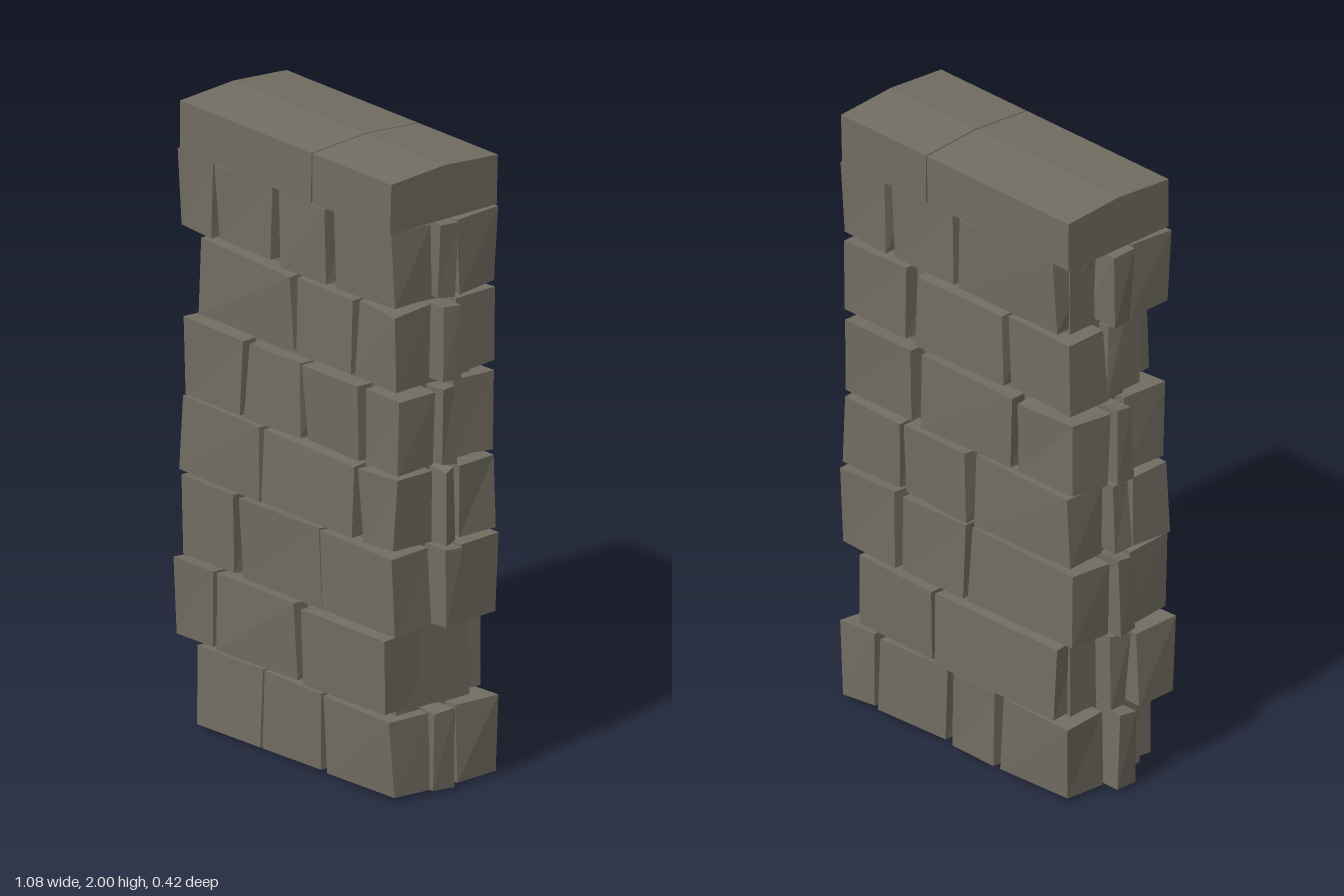
import * as THREE from 'three';

const stoneMat = new THREE.MeshStandardMaterial({ color: 0x726d62, flatShading: true });
stoneMat.name = 'grey stone';

// Courses from the ground up: height range, front and back stones as [x0, x1, lean of top],
// and the small end stones as [outer x, z0, z1]
const courses = [
  { y: [0.01, 0.26], front: [[-0.42, -0.13], [-0.12, 0.15], [0.175, 0.49, -0.02]],
    back: [[-0.48, -0.2], [-0.17, 0.02], [0.05, 0.33], [0.36, 0.49]],
    ends: [[-0.53, -0.04, 0.04], [0.51, -0.03, 0.05]] },
  { y: [0.27, 0.51], front: [[-0.53, -0.36], [-0.33, 0.02], [0.06, 0.44]],
    back: [[-0.43, 0.08], [0.1, 0.42]], ends: [[-0.5, -0.04, 0.03]] },
  { y: [0.53, 0.78], front: [[-0.49, -0.26, -0.01], [-0.22, 0.14], [0.165, 0.49, -0.01]],
    back: [[-0.5, -0.06], [-0.04, 0.23], [0.26, 0.5]],
    ends: [[-0.53, -0.03, 0.03], [0.52, -0.03, 0.03]] },
  { y: [0.8, 1.03], front: [[-0.51, -0.14], [-0.12, 0.29], [0.33, 0.49]],
    back: [[-0.48, -0.07], [-0.05, 0.22], [0.24, 0.49]],
    ends: [[-0.51, -0.03, 0.03], [0.52, -0.02, 0.02]] },
  { y: [1.05, 1.29], front: [[-0.48, -0.22], [-0.2, 0.05], [0.07, 0.32], [0.355, 0.5]],
    back: [[-0.5, -0.27], [-0.24, 0.15], [0.19, 0.48]],
    ends: [[-0.53, -0.04, 0.03], [0.51, -0.03, 0.03]] },
  { y: [1.32, 1.56], front: [[-0.425, 0.01], [0.04, 0.28], [0.31, 0.49]],
    back: [[-0.49, -0.22], [-0.2, 0.17], [0.22, 0.48]],
    ends: [[-0.48, -0.03, 0.03], [0.53, -0.03, 0.04]] },
  { y: [1.58, 1.82], front: [[-0.51, -0.36], [-0.34, -0.09], [-0.04, 0.18, -0.02], [0.21, 0.48]],
    back: [[-0.43, -0.01], [0.02, 0.28], [0.31, 0.49]],
    ends: [[-0.52, -0.04, 0.03], [0.51, -0.03, 0.03]] },
];

let seed = 7;
function jitter(amount) {
  seed = (seed * 16807) % 2147483647;
  return (seed / 2147483647 - 0.5) * 2 * amount;
}

// Rough block: a box whose eight corners are each nudged a little
function block(name, [x0, x1], [y0, y1], [z0, z1], lean = 0, rough = 0.009) {
  const geo = new THREE.BoxGeometry(1, 1, 1);
  const pos = geo.attributes.position;
  const nudges = Array.from({ length: 8 }, () => [jitter(rough), jitter(rough * 0.7), jitter(rough)]);
  for (let i = 0; i < pos.count; i++) {
    const r = pos.getX(i) > 0, t = pos.getY(i) > 0, f = pos.getZ(i) > 0;
    const [dx, dy, dz] = nudges[(r ? 1 : 0) + (t ? 2 : 0) + (f ? 4 : 0)];
    pos.setXYZ(i, (r ? x1 : x0) + dx + (t ? lean : 0), Math.max(0, (t ? y1 : y0) + dy), (f ? z1 : z0) + dz);
  }
  geo.computeVertexNormals();
  const mesh = new THREE.Mesh(geo, stoneMat);
  mesh.name = name;
  return mesh;
}

// Capstone: box with a low ridge running along its length
function capstone(name, x0, x1, topSkew) {
  const geo = new THREE.BoxGeometry(x1 - x0, 0.16, 0.42, 1, 1, 2);
  geo.translate((x0 + x1) / 2, 1.905, 0);
  const pos = geo.attributes.position;
  for (let i = 0; i < pos.count; i++) {
    const top = pos.getY(i) > 1.9;
    if (top && Math.abs(pos.getZ(i)) < 0.01) pos.setY(i, 2);
    if (top && pos.getX(i) > x1 - 0.01) pos.setX(i, pos.getX(i) + topSkew);
  }
  geo.computeVertexNormals();
  const mesh = new THREE.Mesh(geo, stoneMat);
  mesh.name = name;
  return mesh;
}

export function createModel() {
  const wall = new THREE.Group();
  wall.name = 'stoneWall';

  // Solid core seen in the joints
  wall.add(block('core', [-0.435, 0.435], [0, 1.88], [-0.145, 0.145], 0, 0));

  // Stone courses
  courses.forEach(({ y, front, back, ends }, i) => {
    const course = new THREE.Group();
    course.name = `course${i + 1}`;
    for (const [x0, x1, lean] of front) course.add(block('frontStone', [x0, x1], y, [0.05, 0.197], lean));
    for (const [x0, x1, lean] of back) course.add(block('backStone', [x0, x1], y, [-0.2, i === 1 ? -0.1 : -0.05], lean));
    for (const [x, z0, z1] of ends) {
      const inner = Math.sign(x) * 0.38;
      course.add(block('endStone', [Math.min(x, inner), Math.max(x, inner)], y, [z0, z1]));
    }
    wall.add(course);
  });

  // Ridged capstones
  wall.add(capstone('longCapstone', -0.495, 0.115, 0.003));
  wall.add(capstone('shortCapstone', 0.122, 0.485, 0.005));
  return wall;
}
